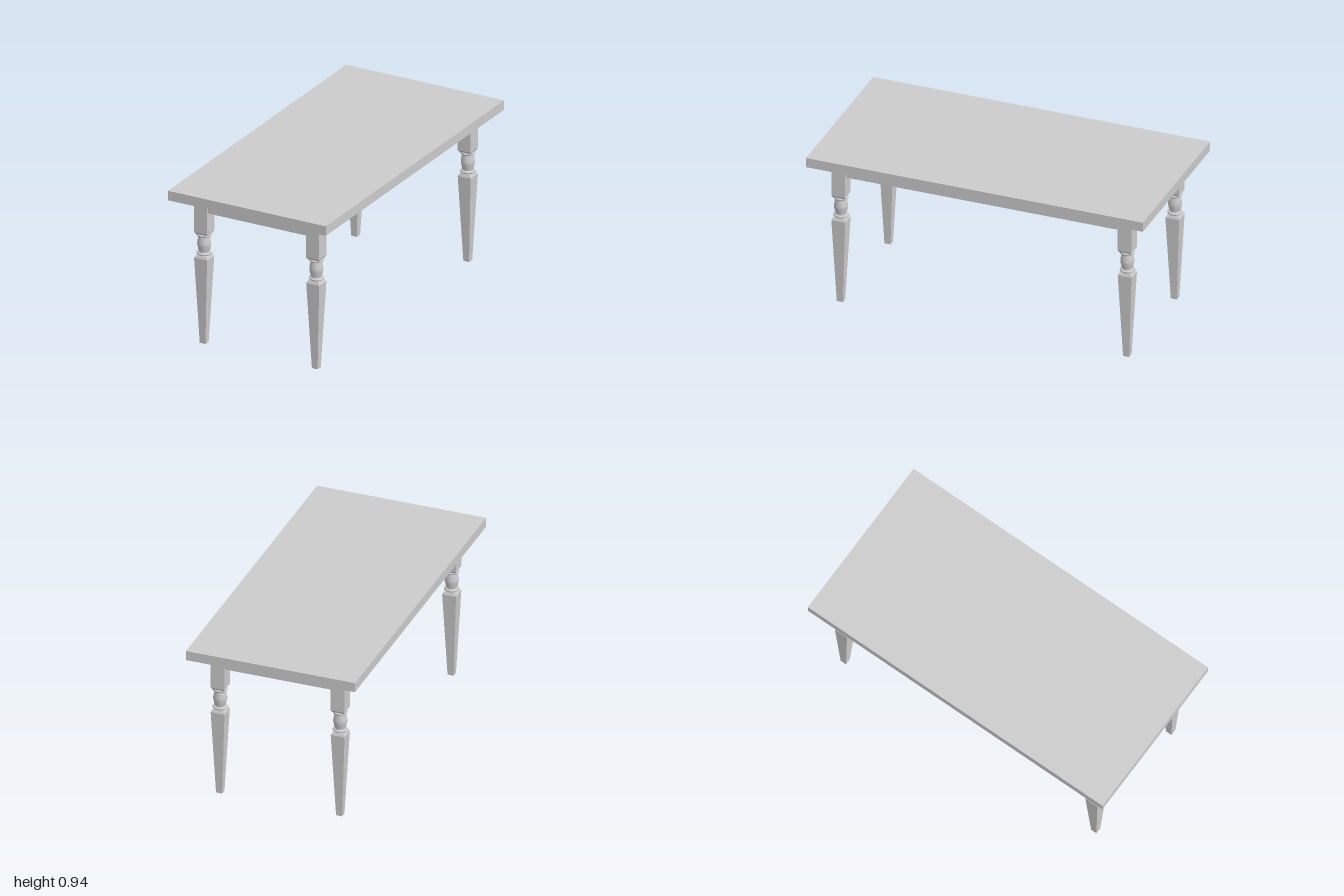
import * as THREE from 'three';

const material = new THREE.MeshStandardMaterial({ color: 0xcccccc });
const flat = new THREE.MeshStandardMaterial({ color: 0xcccccc, flatShading: true });

function box(name, w, y0, y1, d) {
  const mesh = new THREE.Mesh(new THREE.BoxGeometry(w, y1 - y0, d), material);
  mesh.name = name;
  mesh.position.y = (y0 + y1) / 2;
  return mesh;
}

// Square section that tapers from half width h0 at y0 to h1 at y1
function squareTaper(name, y0, h0, y1, h1) {
  const geo = new THREE.CylinderGeometry(h1 * Math.SQRT2, h0 * Math.SQRT2, y1 - y0, 4);
  geo.rotateY(Math.PI / 4);
  const mesh = new THREE.Mesh(geo, flat);
  mesh.name = name;
  mesh.position.y = (y0 + y1) / 2;
  return mesh;
}

function lathe(name, points) {
  const geo = new THREE.LatheGeometry(points.map(([r, y]) => new THREE.Vector2(r, y)), 16);
  const mesh = new THREE.Mesh(geo, material);
  mesh.name = name;
  return mesh;
}

// Rounded collar centred at height y
function collar(name, y) {
  return lathe(name, [
    [0.030, y - 0.008], [0.038, y - 0.007], [0.042, y - 0.003],
    [0.042, y + 0.003], [0.038, y + 0.007], [0.030, y + 0.008],
  ]);
}

function leg() {
  const group = new THREE.Group();
  group.add(
    squareTaper('legFoot', 0, 0.018, 0.515, 0.041),
    squareTaper('legFootShoulder', 0.515, 0.041, 0.531, 0.033),
    collar('lowerCollar', 0.541),
    // Turned bulge between the collars
    lathe('legBulge', [
      [0.030, 0.528], [0.030, 0.550], [0.034, 0.565], [0.039, 0.590],
      [0.039, 0.602], [0.034, 0.630], [0.030, 0.645], [0.030, 0.665],
    ]),
    collar('upperCollar', 0.651),
    squareTaper('legBlockShoulder', 0.657, 0.033, 0.67, 0.041),
    squareTaper('legBlock', 0.67, 0.041, 0.88, 0.041),
  );
  return group;
}

export function createModel() {
  const model = new THREE.Group();
  model.name = 'table';

  model.add(box('tabletop', 1, 0.88, 0.937, 2));
  // Solid frame under the top, set slightly back from the leg faces
  model.add(box('apron', 0.772, 0.795, 0.88, 1.76));

  for (const sx of [-1, 1]) {
    for (const sz of [-1, 1]) {
      const part = leg();
      part.name = (sz > 0 ? 'front' : 'back') + (sx > 0 ? 'Left' : 'Right') + 'Leg';
      part.position.set(sx * 0.355, 0, sz * 0.85);
      model.add(part);
    }
  }
  return model;
}
